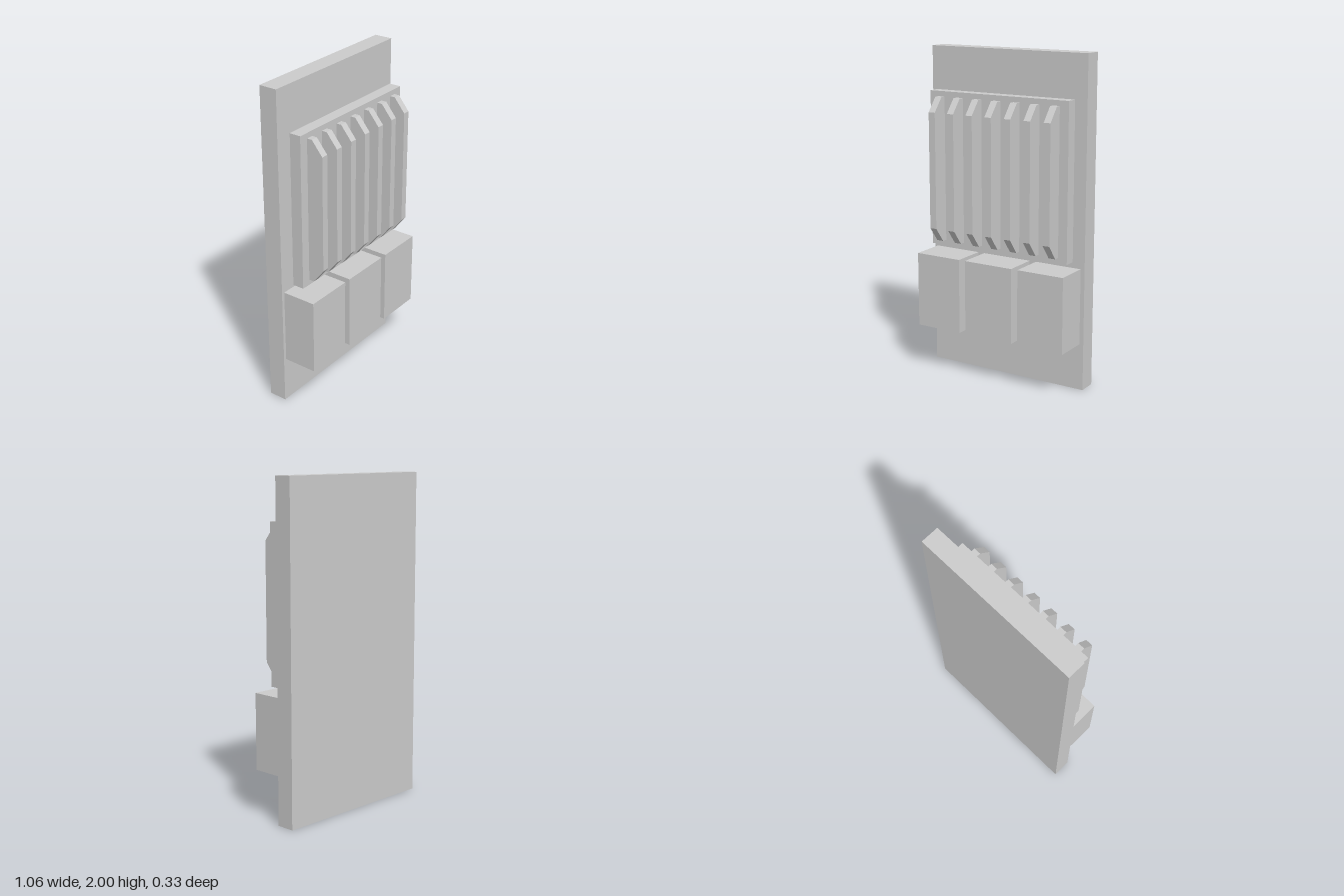
import * as THREE from 'three';

export function createModel() {
  const model = new THREE.Group();
  const material = new THREE.MeshStandardMaterial({ color: 0xcccccc, flatShading: true });

  const add = (name, geometry) => {
    const mesh = new THREE.Mesh(geometry, material);
    mesh.name = name;
    model.add(mesh);
    return mesh;
  };

  // Box given by its extents along each axis
  const box = (name, [x0, x1], [y0, y1], [z0, z1]) =>
    add(name, new THREE.BoxGeometry(x1 - x0, y1 - y0, z1 - z0))
      .position.set((x0 + x1) / 2, (y0 + y1) / 2, (z0 + z1) / 2);

  const panelFront = -0.05;
  const front = 0.163;

  // Tall back panel and the raised plate standing off it
  box('backPanel', [-0.532, 0.532], [0, 2], [-0.163, panelFront]);
  box('finPlate', [-0.473, 0.473], [0.795, 1.742], [-0.012, 0.06]);

  // Row of three blocks below the plate
  [[-0.512, -0.208], [-0.165, 0.16], [0.203, 0.506]].forEach((span, i) =>
    box(`block${i + 1}`, span, [0.285, 0.748], [panelFront, front]));

  // Vertical fins with chamfered front ends, passing through the plate to the panel
  const finWidth = 0.044;
  const profile = new THREE.Shape([
    [panelFront, 0.828], [0.093, 0.828], [front, 0.918],
    [front, 1.625], [0.093, 1.71], [panelFront, 1.71],
  ].map(([z, y]) => new THREE.Vector2(-z, y)));
  const finGeometry = new THREE.ExtrudeGeometry(profile, { depth: finWidth, bevelEnabled: false });
  finGeometry.translate(0, 0, -finWidth / 2).rotateY(Math.PI / 2); // profile -z becomes world z
  for (let i = -3; i <= 3; i++) add(`fin${i + 4}`, finGeometry).position.x = i * 0.131;

  return model;
}
